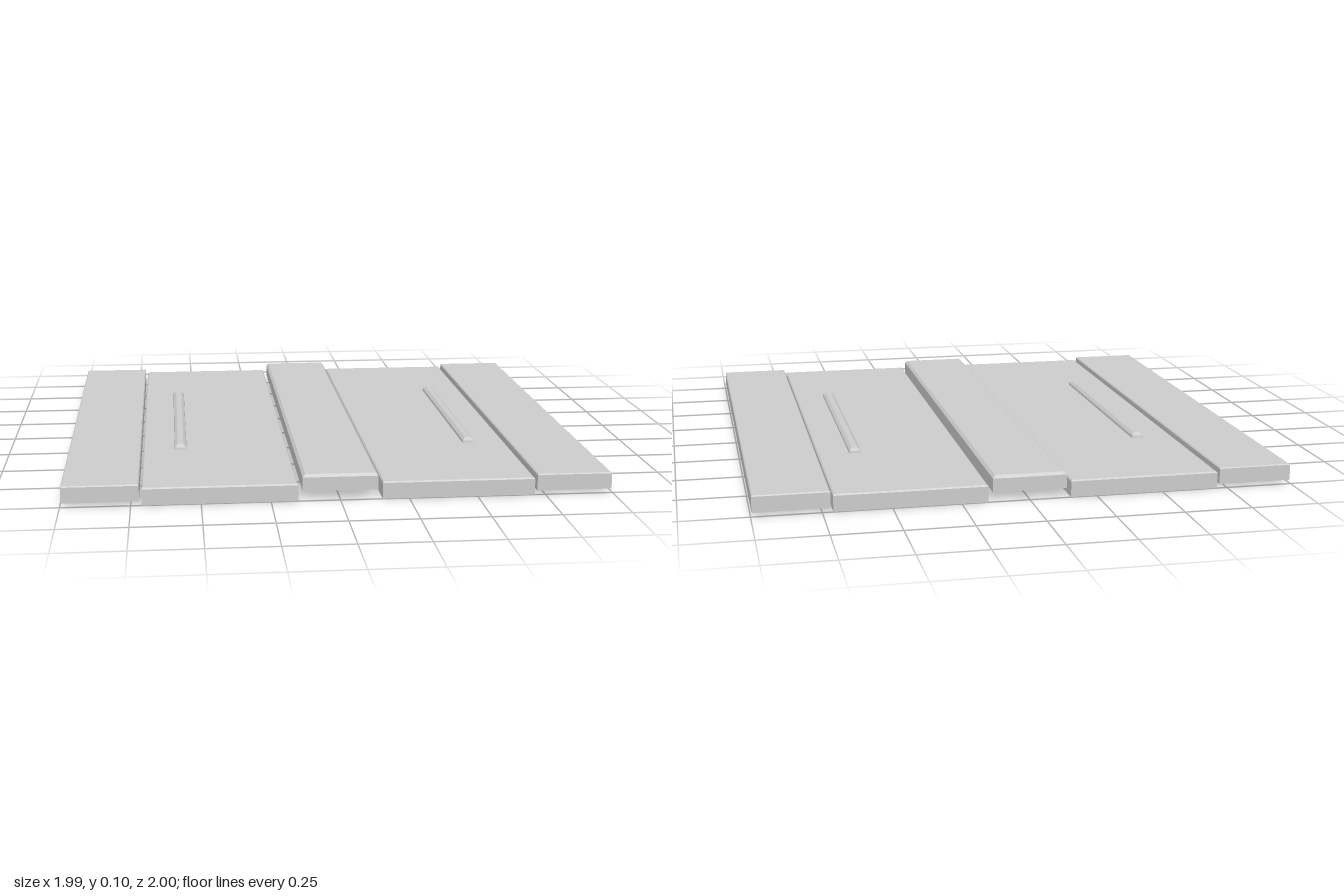
import * as THREE from 'three';

const material = new THREE.MeshStandardMaterial({
  color: 0xcccccc, flatShading: true, side: THREE.DoubleSide,
});

// Open-bottomed shell from stacked rectangles [halfX, y, halfZ], capped on top
function shell(name, x, rings) {
  const pos = [];
  const corners = ([hx, y, hz]) => [[-hx, y, hz], [hx, y, hz], [hx, y, -hz], [-hx, y, -hz]];
  const quad = (a, b, c, d) => pos.push(...a, ...b, ...c, ...a, ...c, ...d);
  for (let r = 0; r < rings.length - 1; r++) {
    const lo = corners(rings[r]), hi = corners(rings[r + 1]);
    for (let i = 0; i < 4; i++) {
      const j = (i + 1) % 4;
      quad(lo[i], lo[j], hi[j], hi[i]);
    }
  }
  quad(...corners(rings[rings.length - 1]));
  const geometry = new THREE.BufferGeometry();
  geometry.setAttribute('position', new THREE.Float32BufferAttribute(pos, 3));
  geometry.computeVertexNormals();
  const mesh = new THREE.Mesh(geometry, material);
  mesh.name = name;
  mesh.position.x = x;
  return mesh;
}

// Long panel with a bevelled upper edge
function panel(name, x0, x1, y0, y1, bevel) {
  const hx = (x1 - x0) / 2;
  return shell(name, (x0 + x1) / 2, [
    [hx, y0, 1],
    [hx, y1 - bevel, 1],
    [hx - bevel, y1, 1 - bevel],
  ]);
}

export function createModel() {
  const group = new THREE.Group();
  group.name = 'steppedPanels';

  // Raised centre strip
  group.add(panel('centrePanel', -0.137, 0.137, 0.036, 0.097, 0.01));

  for (const [side, s] of [['left', 1], ['right', -1]]) {
    const span = (a, b) => (s > 0 ? [a, b] : [-b, -a]);
    // Wide low panel and the narrow outer panel beside it
    group.add(panel(side + 'WidePanel', ...span(0.153, 0.711), 0, 0.064, 0.005));
    group.add(panel(side + 'OuterPanel', ...span(0.72, 0.996), 0.015, 0.077, 0.004));
    // Slim rib on the wide panel
    group.add(shell(side + 'Rib', s * 0.567, [
      [0.024, 0.06, 0.483],
      [0.022, 0.073, 0.481],
      [0.011, 0.083, 0.466],
    ]));
  }
  return group;
}
